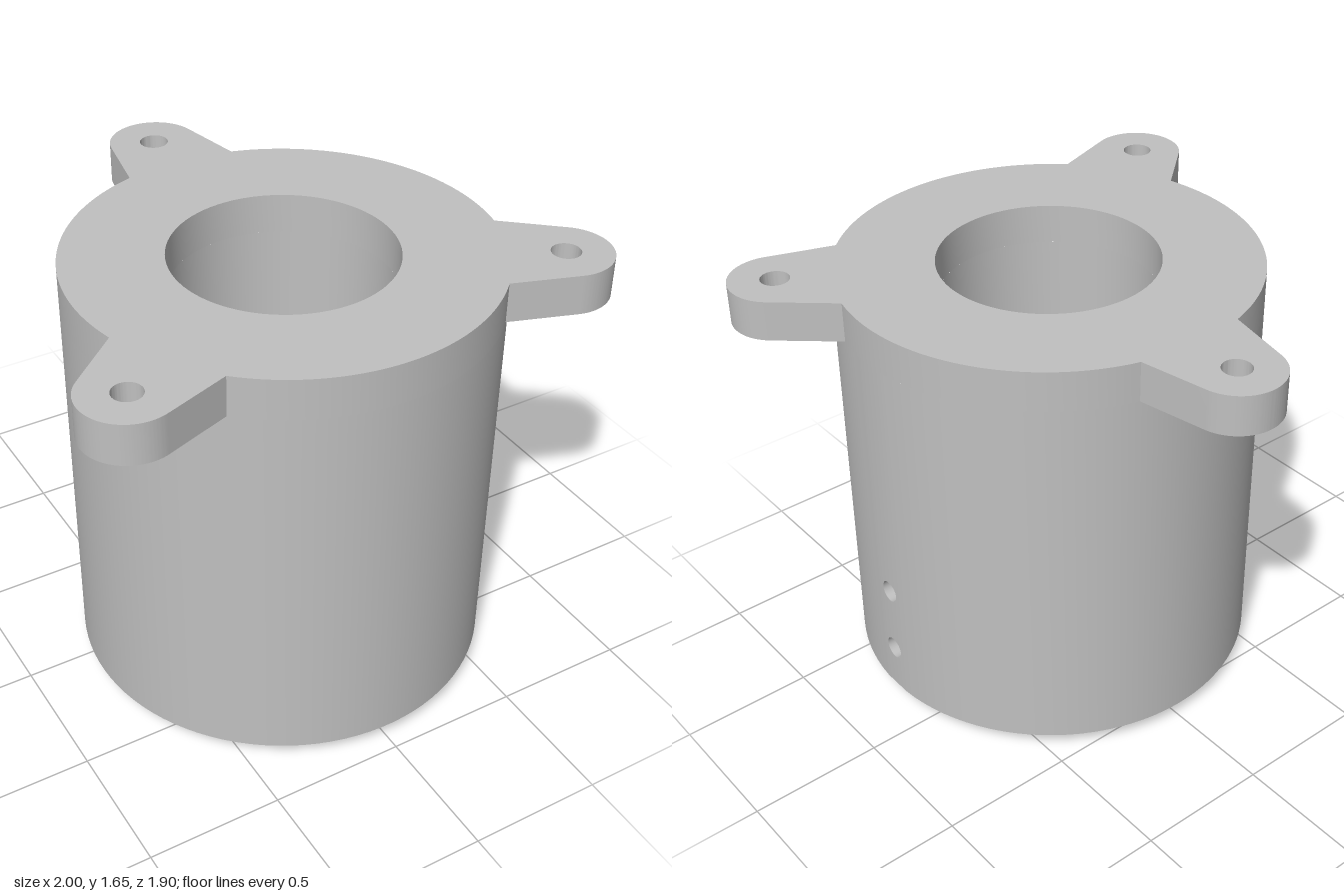
import * as THREE from 'three';
import { toCreasedNormals } from 'three/addons/utils/BufferGeometryUtils.js';

const R = 0.77;          // body radius
const BORE = 0.403;      // bore radius
const BOTTOM = 0.065, PLATE = 1.505, TOP = 1.655;
const PORTS = [0.25, 0.525], PORT_R = 0.042;
const GAP = 0.06;        // half width of the strip holding the side ports

export function createModel() {
  const model = new THREE.Group();
  model.name = 'flangedHousing';
  const body = new THREE.Group();
  body.name = 'housing';
  body.position.z = 0.175;
  model.add(body);

  const grey = new THREE.MeshStandardMaterial({ color: 0xc0c0c0 });
  grey.name = 'plain grey';

  const add = (name, geometry) => {
    const mesh = new THREE.Mesh(geometry, grey);
    mesh.name = name;
    body.add(mesh);
    return mesh;
  };
  // Revolved profile with sharp corners
  const lathe = (name, points, start = 0, length = Math.PI * 2) =>
    add(name, toCreasedNormals(new THREE.LatheGeometry(
      points.map(([x, y]) => new THREE.Vector2(x, y)), 96, start, length), 0.4));
  const circle = (x, y, r) => new THREE.Path().absarc(x, y, r, 0, Math.PI * 2, true);

  // Mounting plate: round rim with three tapered ears, bore and bolt holes
  const outline = new THREE.Shape();
  const base = Math.asin(0.213 / R), taper = 0.19, reach = 0.96, earR = 0.167;
  const bolts = [];
  for (let i = 0; i < 3; i++) {
    const a = Math.PI / 2 + i * Math.PI * 2 / 3;
    const cx = reach * Math.cos(a), cy = reach * Math.sin(a);
    const half = Math.PI / 2 - taper;
    outline.absarc(cx, cy, earR, a - half, a + half, false);
    outline.absarc(0, 0, R, a + base, a + Math.PI * 2 / 3 - base, false);
    bolts.push(circle(cx, cy, 0.053));
  }
  outline.closePath();
  outline.holes.push(circle(0, 0, BORE), ...bolts);
  const plate = new THREE.ExtrudeGeometry(outline, {
    depth: TOP - PLATE, bevelEnabled: false, curveSegments: 40,
  });
  plate.rotateX(-Math.PI / 2).translate(0, PLATE, 0);
  add('mountingPlate', toCreasedNormals(plate, 0.4));

  // Outer wall, open at the narrow strip for the ports
  const gapAngle = Math.asin(GAP / R);
  lathe('outerWall', [[R, BOTTOM], [R, PLATE]],
    Math.PI / 2 + gapAngle, Math.PI * 2 - 2 * gapAngle);

  // Strip with two round ports, bent onto the wall
  const strip = new THREE.Shape();
  strip.moveTo(-GAP, BOTTOM).lineTo(GAP, BOTTOM).lineTo(GAP, PLATE).lineTo(-GAP, PLATE);
  PORTS.forEach(y => strip.holes.push(circle(0, y, PORT_R)));
  const stripGeo = new THREE.ShapeGeometry(strip, 32).rotateY(Math.PI / 2);
  const pos = stripGeo.attributes.position, normal = stripGeo.attributes.normal;
  for (let i = 0; i < pos.count; i++) {
    const z = pos.getZ(i), x = Math.sqrt(R * R - z * z);
    pos.setX(i, x);
    normal.setXYZ(i, x / R, 0, z / R);
  }
  add('portStrip', stripGeo);

  // Port walls (facing inward) and their ends
  const depth = R - 0.42;
  PORTS.forEach(y => {
    const tube = new THREE.LatheGeometry(
      [new THREE.Vector2(PORT_R, depth - 0.001), new THREE.Vector2(PORT_R, 0)], 32);
    tube.rotateZ(-Math.PI / 2).translate(0.42, y, 0);
    add('portWall', tube);
    add('portEnd', new THREE.CircleGeometry(PORT_R, 32)
      .rotateY(Math.PI / 2).translate(0.42, y, 0));
  });

  // Underside with the outlet collar
  lathe('undersideAndCollar', [[0.138, 0], [0.175, 0], [0.175, BOTTOM], [R, BOTTOM]]);

  // Straight bore, funnel, and stepped outlet
  lathe('boreAndFunnel', [
    [BORE, PLATE], [BORE, 0.53], [0.14, 0.13], [0.127, 0.13],
    [0.127, BOTTOM], [0.138, BOTTOM], [0.138, 0],
  ]);

  return model;
}
